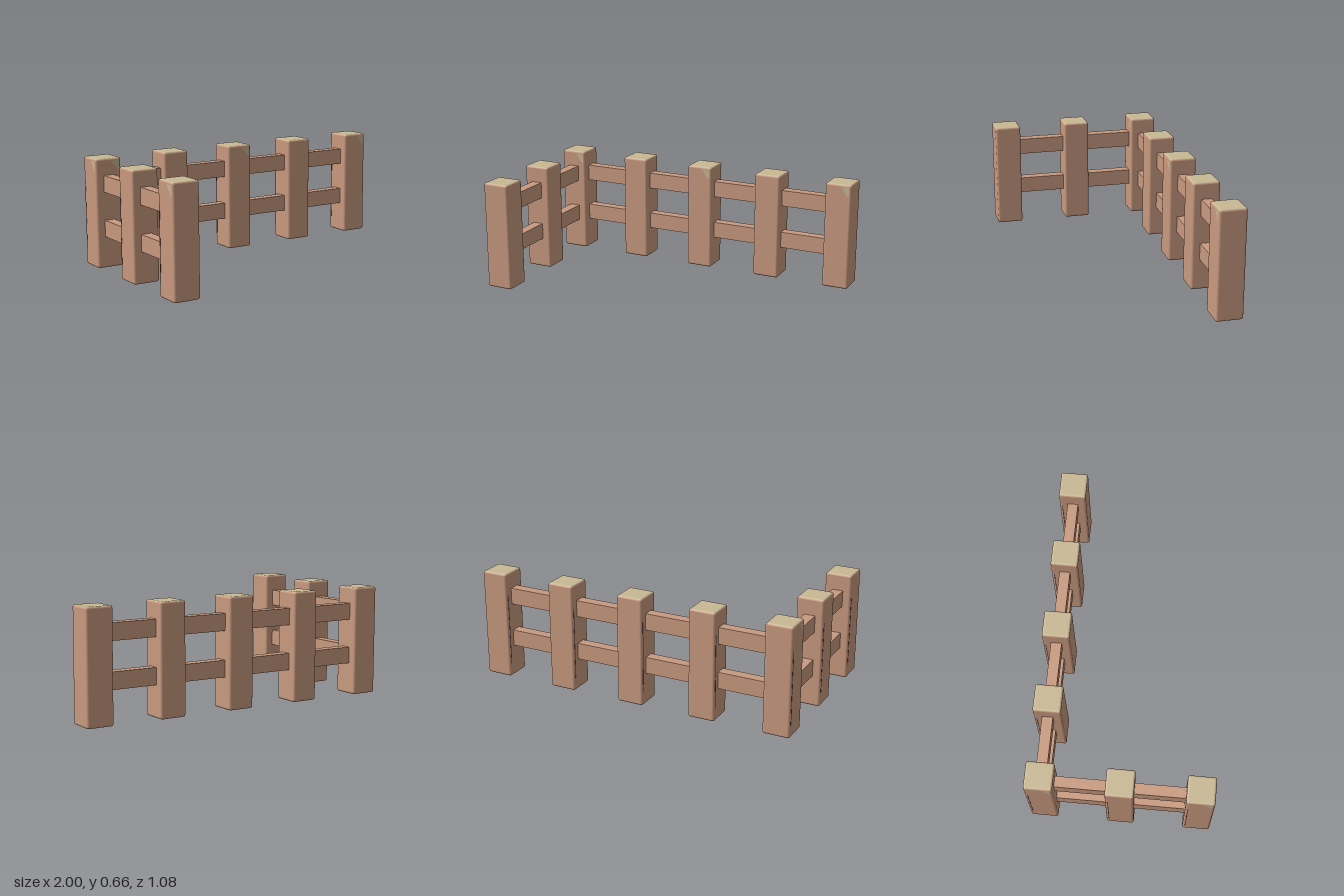
import * as THREE from 'three';
import { RoundedBoxGeometry } from 'three/addons/geometries/RoundedBoxGeometry.js';

const POST_W = 0.164, POST_H = 0.66, STEP = 0.459;
const RAIL_H = 0.1, RAIL_T = 0.064;

const mat = (name, color) => Object.assign(new THREE.MeshStandardMaterial({ color }), { name });

export function createModel() {
  const wood = mat('wood', 0xc99a80);
  const endGrain = mat('endGrain', 0xc8b894);
  const crack = mat('crack', 0x4a3038);
  const fence = new THREE.Group();
  fence.name = 'cornerFence';

  const add = (parent, name, geometry, material, x, y, z) => {
    const mesh = new THREE.Mesh(geometry, material);
    mesh.name = name;
    mesh.position.set(x, y, z);
    parent.add(mesh);
    return mesh;
  };

  // Posts: wooden sides, pale end grain on top and bottom
  const postGeo = new RoundedBoxGeometry(POST_W, POST_H, POST_W, 3, 0.014);
  const postMats = [wood, wood, endGrain, endGrain, wood, wood];

  // Worn corner patch, drawn in the plane of a post face
  const chipGeo = new THREE.ShapeGeometry(new THREE.Shape([
    [0.068, 0.645], [0.018, 0.645], [0.038, 0.615], [0.052, 0.595], [0.068, 0.585],
  ].reverse().map(([x, y]) => new THREE.Vector2(x, y))));
  const crackGeo = new THREE.BoxGeometry(0.002, 0.44, 0.004);

  const addPost = (x, z, frontChip, sideChip) => {
    const post = new THREE.Group();
    post.name = 'post';
    post.position.set(x, 0, z);
    fence.add(post);
    add(post, 'postBody', postGeo, postMats, 0, POST_H / 2, 0);
    add(post, 'sideCrack', crackGeo, crack, -POST_W / 2, 0.3, -0.066);
    if (frontChip) add(post, 'frontChip', chipGeo, endGrain, 0, 0, POST_W / 2 + 0.001);
    if (sideChip) add(post, 'sideChip', chipGeo, endGrain, -POST_W / 2 - 0.001, 0, 0).rotation.y = -Math.PI / 2;
  };

  // Long back run of five posts, then two more along the model's right side
  for (let i = -2; i <= 2; i++) addPost(i * STEP, -STEP, i % 2 === 0, i === -2);
  for (const z of [0, STEP]) addPost(-2 * STEP, z, false, z > 0);

  // Two rails in every bay of both runs
  const bay = STEP - POST_W + 0.02;
  const backRail = new THREE.BoxGeometry(bay, RAIL_H, RAIL_T);
  const sideRail = new THREE.BoxGeometry(RAIL_T, RAIL_H, bay);
  for (const y of [0.24, 0.51]) {
    for (let i = -1.5; i < 2; i++) add(fence, 'backRail', backRail, wood, i * STEP, y, -STEP);
    for (const i of [-0.5, 0.5]) add(fence, 'sideRail', sideRail, wood, -2 * STEP, y, i * STEP);
  }
  return fence;
}
